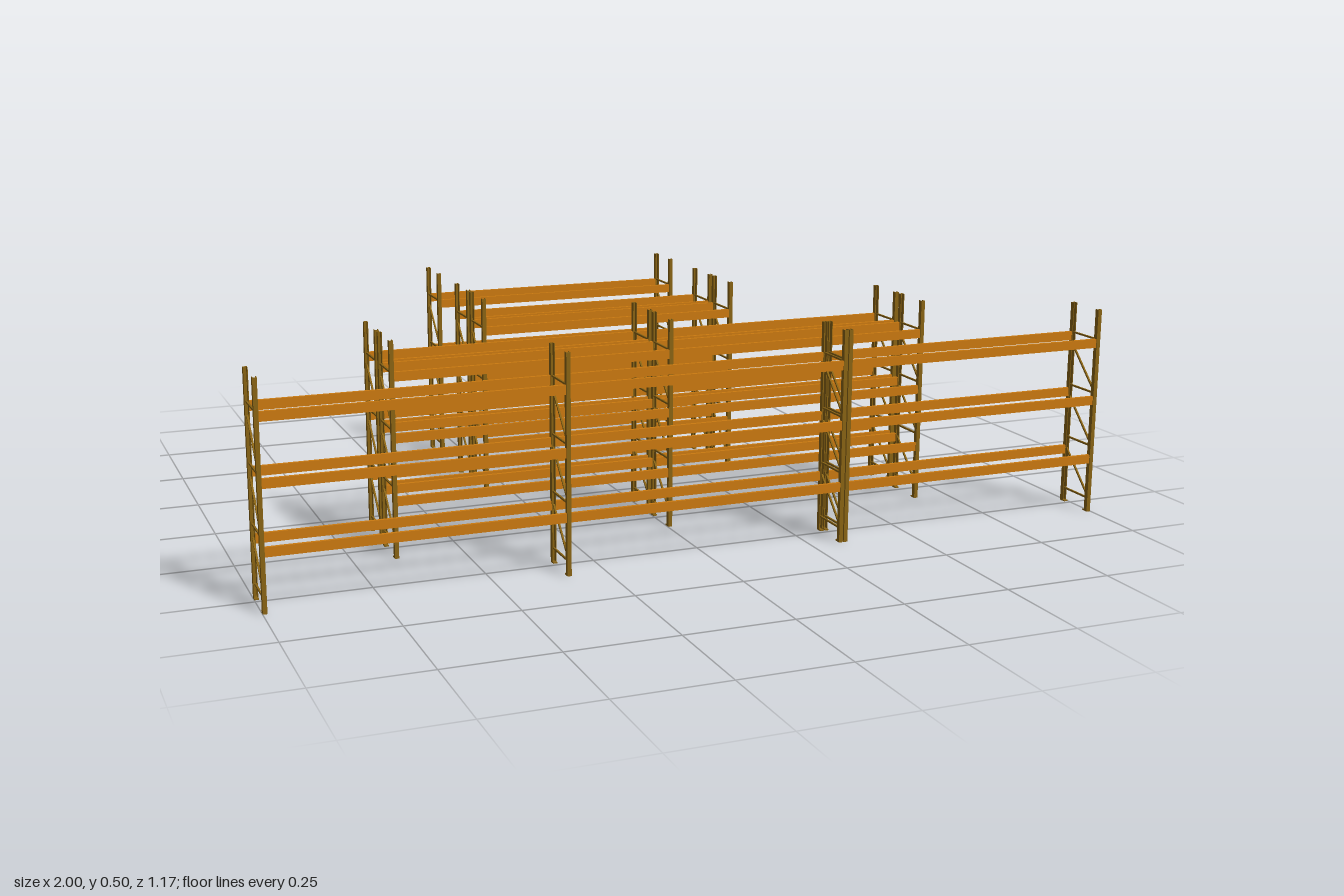
import * as THREE from 'three';

const HEIGHT = 0.495;
const POST_W = 0.0095, POST_D = 0.0115, WALL = 0.0015;
const HALF_DEPTH = 0.0495; // post centre to frame centre
const BEAM_LEVELS = [0.131, 0.275, 0.414];
const BRACE_LEVELS = [0.033, 0.163, 0.293, 0.423];

const steel = new THREE.MeshStandardMaterial({ color: 0x8a6414 });
const orange = new THREE.MeshStandardMaterial({ color: 0xcc7a10 });

// Channel section: web on the outer side, open toward the frame's inside
function channelGeometry() {
  const w = POST_W / 2, d = POST_D / 2;
  const shape = new THREE.Shape([
    [-w, -d], [w, -d], [w, d], [w - WALL, d],
    [w - WALL, -d + WALL], [-w + WALL, -d + WALL], [-w + WALL, d], [-w, d],
  ].map(([x, y]) => new THREE.Vector2(x, y)));
  const geo = new THREE.ExtrudeGeometry(shape, { depth: HEIGHT, bevelEnabled: false });
  return geo.rotateX(-Math.PI / 2); // section -y becomes +z
}

const postGeo = channelGeometry();
const footGeo = new THREE.BoxGeometry(POST_W, 0.003, POST_D + 0.006);

function add(parent, name, geo, material, x, y, z) {
  const mesh = new THREE.Mesh(geo, material);
  mesh.name = name;
  mesh.position.set(x, y, z);
  parent.add(mesh);
  return mesh;
}

// Thin bar in the frame's plane between two [z, y] points
function brace(parent, name, [z1, y1], [z2, y2]) {
  const length = Math.hypot(z2 - z1, y2 - y1);
  const geo = new THREE.BoxGeometry(0.004, 0.004, length);
  const bar = add(parent, name, geo, steel, 0, (y1 + y2) / 2, (z1 + z2) / 2);
  bar.rotation.x = -Math.atan2(y2 - y1, z2 - z1);
}

// Two posts with feet, four level braces and three diagonals
function uprightFrame() {
  const frame = new THREE.Group();
  frame.name = 'uprightFrame';
  for (const s of [1, -1]) {
    const post = add(frame, 'post', postGeo, steel, 0, 0, s * HALF_DEPTH);
    if (s < 0) post.rotation.y = Math.PI;
    add(frame, 'footPlate', footGeo, steel, 0, 0.0015, s * (HALF_DEPTH - 0.003));
  }
  const reach = HALF_DEPTH - 0.003;
  BRACE_LEVELS.forEach((y, i) => {
    brace(frame, 'levelBrace', [-reach, y], [reach, y]);
    if (i < 3) brace(frame, 'diagonalBrace', [reach, y + 0.007], [-reach, y + 0.101]);
  });
  return frame;
}

// A run of bays sharing their inner frames
function rackRun(xs, z) {
  const run = new THREE.Group();
  run.name = 'rackRun';
  run.position.z = z;
  for (const x of xs) {
    const frame = uprightFrame();
    frame.position.x = x;
    run.add(frame);
  }
  for (let i = 0; i < xs.length - 1; i++) {
    const length = xs[i + 1] - xs[i] - POST_W;
    const geo = new THREE.BoxGeometry(length, 0.021, 0.008);
    for (const y of BEAM_LEVELS) {
      for (const s of [1, -1]) {
        add(run, 'loadBeam', geo, orange, (xs[i] + xs[i + 1]) / 2, y, s * HALF_DEPTH);
      }
    }
  }
  return run;
}

export function createModel() {
  const model = new THREE.Group();
  model.name = 'warehouseRacks';

  // Front row: a double bay beside a single bay
  model.add(rackRun([-0.995, -0.336, 0.323], 0.528));
  model.add(rackRun([0.335, 0.994], 0.528));

  // Back-to-back double bays
  for (const z of [0.276, 0.149]) model.add(rackRun([-0.653, 0.006, 0.665], z));

  // Back-to-back single bays and the rear single bay
  for (const z of [-0.132, -0.259, -0.527]) model.add(rackRun([-0.316, 0.343], z));

  return model;
}
